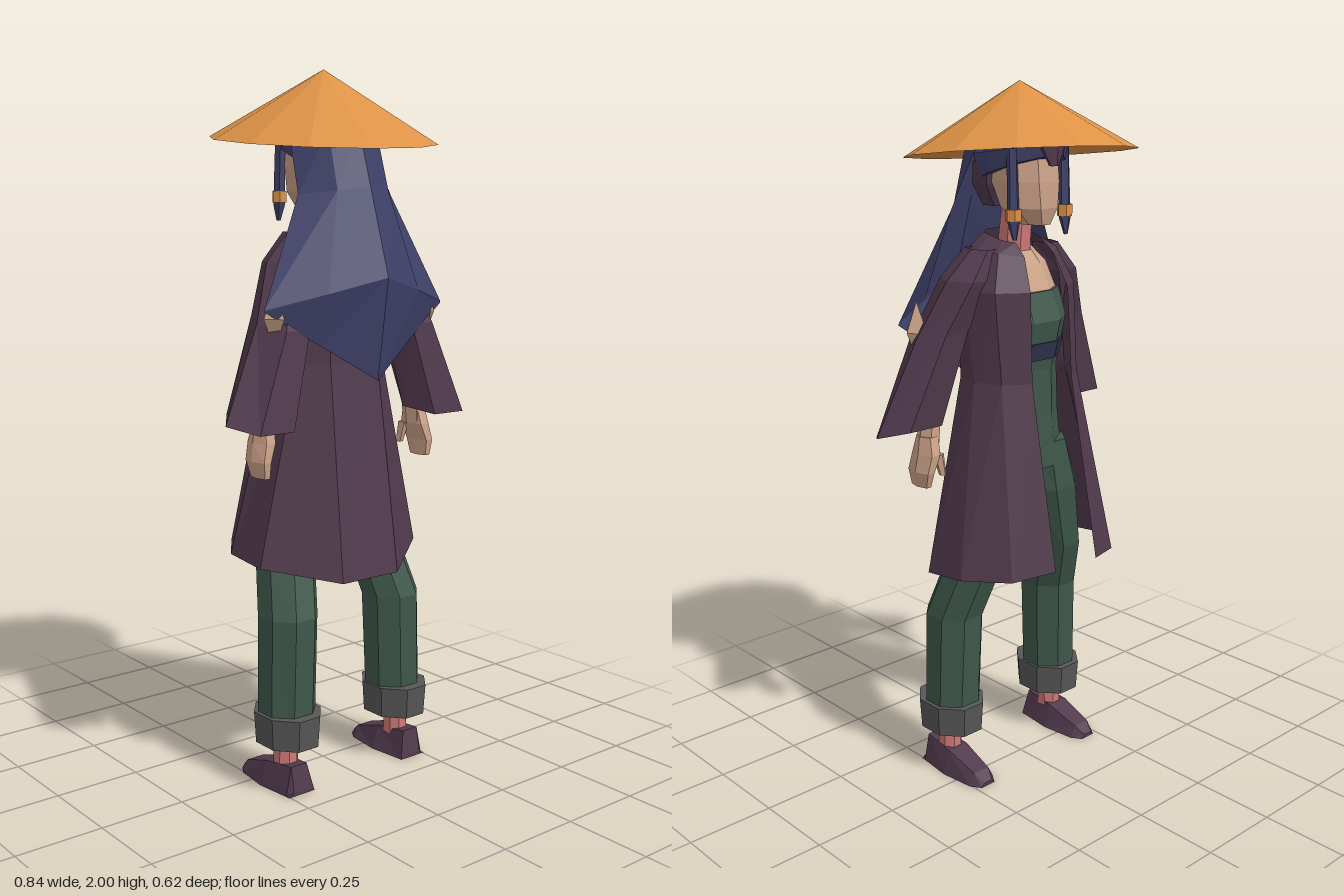
import * as THREE from 'three';

const mat = (name, color) => Object.assign(
  new THREE.MeshStandardMaterial({ color, flatShading: true, side: THREE.DoubleSide }), { name });
const M = {
  straw: mat('straw', 0xdd9146), hair: mat('hair blue', 0x40416a), coat: mat('coat plum', 0x513a4d),
  green: mat('cloth green', 0x3f584b), skin: mat('skin', 0xcda389), flush: mat('flushed skin', 0xd07b79),
  grey: mat('cuff grey', 0x575757), band: mat('sash navy', 0x30344f),
};

// Skins cross-sections listed from bottom to top; closed lofts also get end caps
function loft(sections, closed = true) {
  const pos = sections.flat(2), idx = [], n = sections[0].length, rows = sections.length;
  for (let r = 0; r < rows - 1; r++) {
    for (let i = 0; i < (closed ? n : n - 1); i++) {
      const a = r * n + i, b = r * n + (i + 1) % n;
      idx.push(a, b, b + n, a, b + n, a + n);
    }
  }
  if (closed) {
    const top = (rows - 1) * n;
    for (let i = 1; i < n - 1; i++) idx.push(0, i + 1, i, top, top + i, top + i + 1);
  }
  const g = new THREE.BufferGeometry();
  g.setAttribute('position', new THREE.Float32BufferAttribute(pos, 3));
  g.setIndex(idx);
  const flat = g.toNonIndexed();
  flat.computeVertexNormals();
  return flat;
}

// Horizontal polygon; tilt raises the side towards -z
function ring(x, y, z, rx, rz, n = 8, tilt = 0) {
  return Array.from({ length: n }, (_, i) => {
    const a = ((i + 0.5) / n) * Math.PI * 2;
    return [x + rx * Math.sin(a), y - tilt * Math.cos(a), z + rz * Math.cos(a)];
  });
}
const rings = (rows, n) => loft(rows.map(([x, y, z, rx, rz, t]) => ring(x, y, z, rx, rz, n, t)));

// Mirrors a half row about x = 0; the row runs from the middle outwards
const mirrorRow = (half) => {
  const other = half.filter((p) => p[0] > 0).map(([x, y, z]) => [-x, y, z]).reverse();
  return [...other, ...half];
};

function add(parent, name, geometry, material) {
  const m = new THREE.Mesh(geometry, material);
  m.name = name;
  parent.add(m);
  return m;
}

function buildHat(g) {
  const hat = new THREE.ConeGeometry(0.321, 0.19, 12, 1, true);
  hat.rotateY(Math.PI / 12);
  const p = hat.attributes.position;
  for (let i = 0; i < p.count; i++) {
    const x = p.getX(i), z = p.getZ(i);
    if (p.getY(i) > 0) p.setXYZ(i, -0.01, 2, 0.015);
    else p.setY(i, 1.81 + 0.045 * x - 0.105 * z);
  }
  hat.computeVertexNormals();
  add(g, 'strawHat', hat, M.straw);
}

function buildHead(g) {
  add(g, 'neck', rings([[0, 1.52, 0.03, 0.05, 0.05], [0, 1.7, 0.01, 0.045, 0.045]], 8), M.flush);
  add(g, 'face', rings([
    [0, 1.625, -0.055, 0.04, 0.05], [0, 1.67, -0.035, 0.082, 0.085],
    [0, 1.74, -0.02, 0.098, 0.1], [0, 1.85, -0.01, 0.095, 0.1]], 8), M.skin);
  // Hair cap framing the face, lower at the nape
  add(g, 'hairCap', rings([
    [0, 1.765, 0.0, 0.115, 0.135, 0.045], [0, 1.82, 0.0, 0.12, 0.14, 0.02], [0, 1.88, 0.005, 0.08, 0.09]], 10), M.hair);
  add(g, 'napeWrap', rings([
    [0, 1.67, 0.055, 0.075, 0.06], [0, 1.73, 0.055, 0.11, 0.075], [0, 1.79, 0.05, 0.11, 0.08]], 8), M.coat);
  add(g, 'fringe', rings([
    [0.02, 1.785, -0.15, 0.015, 0.012], [0.02, 1.84, -0.14, 0.045, 0.025]], 5), M.coat);
  // Long hair fanning out to a point behind the back
  const rows = [
    [[0, 1.16, 0.24], [0.16, 1.26, 0.19], [0.315, 1.355, 0.15]],
    [[0, 1.44, 0.28], [0.16, 1.4, 0.225], [0.315, 1.36, 0.15]],
    [[0, 1.68, 0.205], [0.09, 1.67, 0.175], [0.165, 1.66, 0.1]],
    [[0, 1.84, 0.155], [0.085, 1.83, 0.13], [0.14, 1.82, 0.03]],
  ];
  add(g, 'longHair', loft(rows.map(mirrorRow), false), M.hair);
}

function buildTorso(g) {
  add(g, 'shirt', rings([
    [0, 0.93, 0.01, 0.15, 0.1], [0, 1.08, 0, 0.125, 0.085],
    [0, 1.22, -0.005, 0.115, 0.08], [0, 1.36, -0.015, 0.135, 0.1], [0, 1.44, 0, 0.125, 0.085]], 8), M.green);
  add(g, 'bustBand', rings([
    [0, 1.25, -0.008, 0.121, 0.088], [0, 1.3, -0.012, 0.129, 0.096]], 8), M.band);
  add(g, 'upperChest', rings([
    [0, 1.43, 0.0, 0.12, 0.08], [0, 1.51, 0.02, 0.1, 0.065], [0, 1.56, 0.03, 0.05, 0.045]], 8), M.skin);
  // Open coat: columns run from the middle of the back round to the front edge
  const rows = [
    [[0.1, 0.6, 0.215], [0.285, 0.645, 0.08], [0.285, 0.66, -0.06], [0.2, 0.665, -0.18], [0.08, 0.68, -0.23]],
    [[0.085, 1.2, 0.14], [0.155, 1.2, 0.08], [0.175, 1.2, 0], [0.145, 1.2, -0.08], [0.075, 1.2, -0.128]],
    [[0.08, 1.45, 0.13], [0.15, 1.45, 0.1], [0.18, 1.45, 0.03], [0.15, 1.45, -0.06], [0.07, 1.45, -0.115]],
    [[0.06, 1.55, 0.125], [0.11, 1.55, 0.1], [0.14, 1.55, 0.035], [0.11, 1.55, -0.03], [0.055, 1.54, -0.075]],
    [[0.035, 1.6, 0.1], [0.06, 1.595, 0.085], [0.075, 1.59, 0.04], [0.07, 1.58, 0], [0.05, 1.575, -0.035]],
  ];
  add(g, 'coat', loft(rows.map(mirrorRow), false), M.coat);
}

function buildArm(g) {
  // Wide sleeve, left open at the wrist
  const sleeve = [
    ring(0.31, 1.06, 0.122, 0.112, 0.088, 6, 0.025),
    ring(0.222, 1.32, 0.095, 0.078, 0.092, 6, 0.02),
    ring(0.16, 1.48, 0.045, 0.07, 0.08, 6),
    ring(0.115, 1.56, 0.035, 0.035, 0.055, 6)];
  add(g, 'sleeve', loft(sleeve.map((r) => [...r, r[0]]), false), M.coat);
  add(g, 'forearm', rings([
    [0.275, 1.0, 0.085, 0.028, 0.035], [0.24, 1.3, 0.1, 0.035, 0.04]], 6), M.skin);
  const elbow = add(g, 'elbow', new THREE.OctahedronGeometry(1), M.skin);
  elbow.scale.set(0.035, 0.085, 0.045);
  elbow.position.set(0.268, 1.335, 0.13);
  add(g, 'hand', rings([
    [0.292, 0.905, 0.095, 0.016, 0.038], [0.295, 0.95, 0.09, 0.023, 0.05],
    [0.28, 1.0, 0.085, 0.03, 0.05], [0.275, 1.05, 0.085, 0.028, 0.035]], 6), M.skin);
  add(g, 'thumb', rings([
    [0.255, 0.94, 0.045, 0.01, 0.012], [0.262, 1.0, 0.055, 0.016, 0.018]], 5), M.skin);
}

function buildLeg(g) {
  add(g, 'trouserLeg', rings([
    [0.2, 0.16, 0.085, 0.083, 0.083], [0.19, 0.5, 0.08, 0.085, 0.09],
    [0.16, 0.65, 0.03, 0.085, 0.09], [0.105, 0.85, 0.01, 0.1, 0.1], [0.075, 1.0, 0.01, 0.075, 0.095]], 8), M.green);
  add(g, 'trouserCuff', rings([
    [0.2, 0.135, 0.09, 0.088, 0.105], [0.2, 0.225, 0.09, 0.093, 0.112]], 8), M.grey);
  add(g, 'ankle', rings([
    [0.208, 0.05, 0.09, 0.035, 0.038], [0.205, 0.2, 0.09, 0.035, 0.038]], 8), M.flush);
  // Pointed shoe: cross-sections from toe to heel, [z, half width, height]
  const shoe = [[-0.085, 0.025, 0.012], [-0.055, 0.045, 0.035], [0.05, 0.057, 0.07], [0.155, 0.045, 0.082], [0.168, 0.045, 0.01]]
    .map(([z, w, h]) => [[0.21 - w, 0, z], [0.21 + w, 0, z], [0.21 + w * 0.6, h, z], [0.21 - w * 0.6, h, z]]);
  add(g, 'shoe', loft(shoe), M.coat);
}

function buildSideLock(g) {
  add(g, 'sideLock', rings([
    [0.096, 1.59, -0.08, 0.006, 0.006], [0.096, 1.635, -0.076, 0.018, 0.016],
    [0.096, 1.83, -0.07, 0.014, 0.016]], 5), M.hair);
  add(g, 'lockBead', rings([
    [0.096, 1.64, -0.075, 0.023, 0.021], [0.096, 1.672, -0.075, 0.023, 0.021]], 6), M.straw);
}

export function createModel() {
  const model = new THREE.Group();
  model.name = 'travellerInStrawHat';
  buildHat(model);
  buildHead(model);
  buildTorso(model);
  for (const s of [1, -1]) {
    const side = new THREE.Group();
    side.name = s > 0 ? 'leftLimbs' : 'rightLimbs';
    side.scale.x = s;
    buildArm(side);
    buildLeg(side);
    buildSideLock(side);
    model.add(side);
  }
  return model;
}
